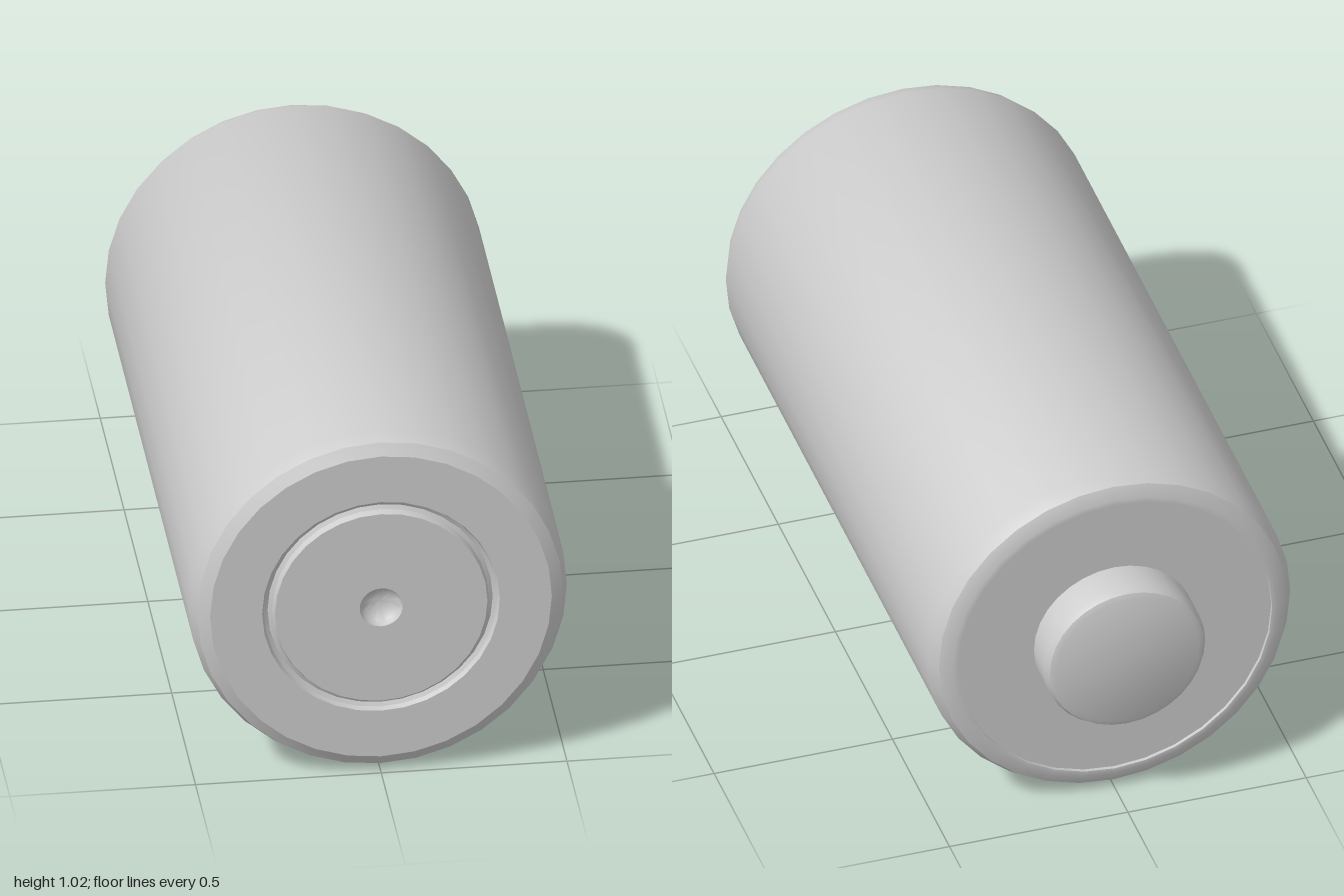
import * as THREE from 'three';
import { toCreasedNormals } from 'three/addons/utils/BufferGeometryUtils.js';

const RADIUS = 0.508;
const SIDES = 32;
const material = new THREE.MeshStandardMaterial({ color: 0xcccccc });

// Turns a profile of [radius, z] points, listed from back to front, around the z axis
function turned(name, profile) {
  const points = profile.map(([r, z]) => new THREE.Vector2(r, z));
  const geometry = new THREE.LatheGeometry(points, SIDES).rotateX(Math.PI / 2);
  const mesh = new THREE.Mesh(toCreasedNormals(geometry, 0.6), material);
  mesh.name = name;
  return mesh;
}

export function createModel() {
  const model = new THREE.Group();
  model.name = 'battery';
  const cell = new THREE.Group();
  cell.name = 'cell';
  cell.position.y = RADIUS;
  model.add(cell);

  // Casing with rounded shoulders and a thin lip around the back end
  cell.add(turned('casing', [
    [0.44, -0.875], [0.44, -0.89], [0.455, -0.89], [0.489, -0.873], [RADIUS, -0.835],
    [RADIUS, 0.935], [0.492, 0.975], [0.46, 0.995],
  ]));

  // Recessed plate at the back
  cell.add(turned('backPlate', [[0.2, -0.88], [0.44, -0.88]]));

  // Raised contact with a rounded edge
  cell.add(turned('positiveContact', [
    [0, -1], [0.2, -0.999], [0.216, -0.992], [0.225, -0.975], [0.225, -0.88],
  ]));

  // Front plate: outer ring, rounded groove and inner disc
  cell.add(turned('frontPlate', [
    [0.46, 0.995], [0.32, 0.995], [0.314, 0.982], [0.303, 0.976],
    [0.292, 0.982], [0.286, 1], [0.058, 1],
  ]));

  // Small round dimple in the middle of the front
  const dimple = [];
  for (let i = 0; i <= 6; i++) {
    const a = (i / 6) * Math.PI / 2;
    dimple.push([0.058 * Math.cos(a), 1 - 0.04 * Math.sin(a)]);
  }
  cell.add(turned('dimple', dimple));

  return model;
}
